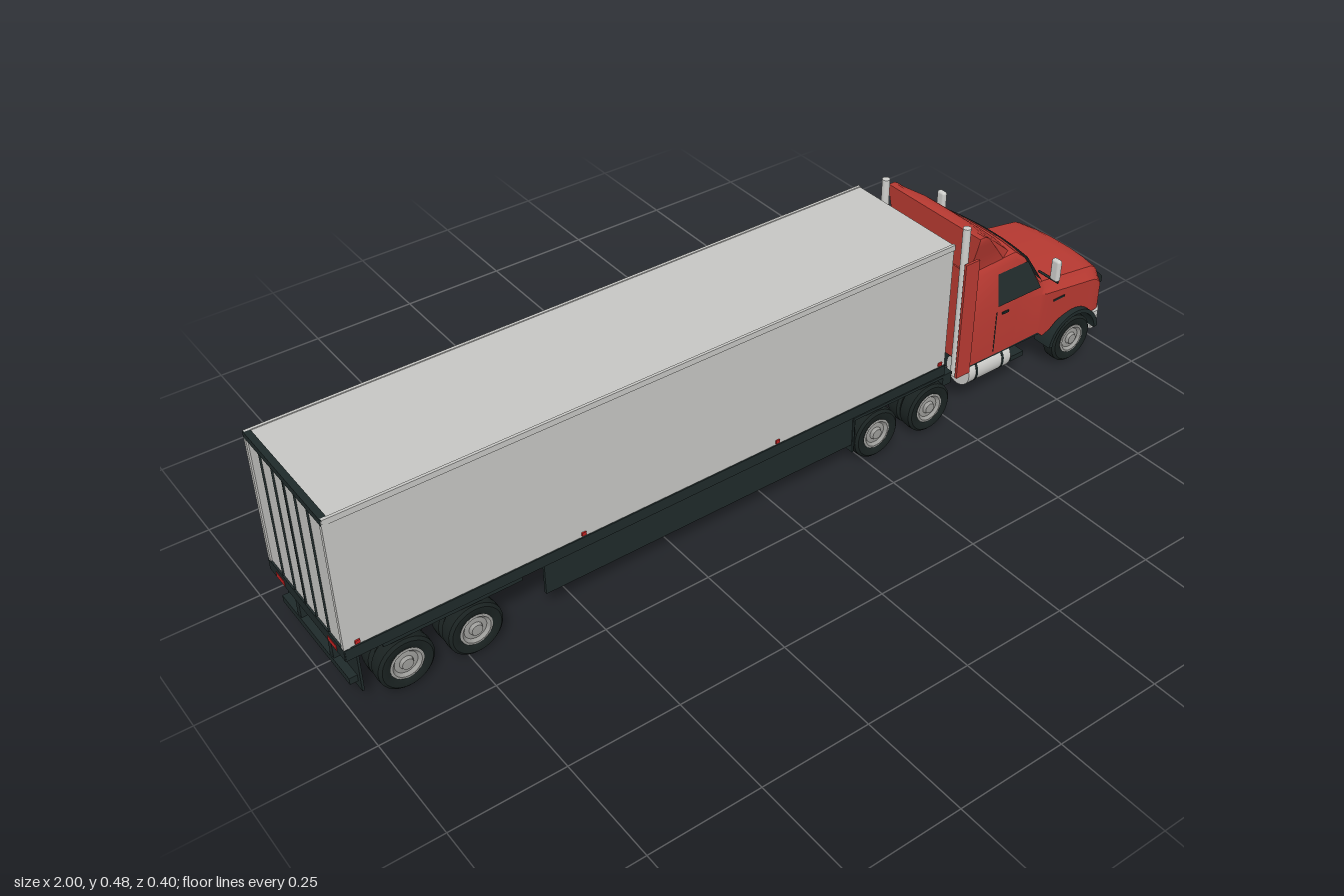
import * as THREE from 'three';
import { toCreasedNormals } from 'three/addons/utils/BufferGeometryUtils.js';
import { RoundedBoxGeometry } from 'three/addons/geometries/RoundedBoxGeometry.js';

const mat = (name, color, side = THREE.FrontSide) => new THREE.MeshStandardMaterial({ name, color, side });

// Closed loft through rings of [x, y, z] points, capped, always facing outward
function loft(rings, crease = 0.6) {
  const n = rings[0].length, pos = rings.flat(2), idx = [];
  for (let r = 0; r + 1 < rings.length; r++) for (let i = 0; i < n; i++) {
    const a = r * n + i, b = r * n + (i + 1) % n;
    idx.push(a, b, b + n, a, b + n, a + n);
  }
  [0, rings.length - 1].forEach((r, end) => {
    const c = pos.length / 3;
    for (let k = 0; k < 3; k++) pos.push(rings[r].reduce((s, p) => s + p[k], 0) / n);
    for (let i = 0; i < n; i++) {
      const a = r * n + i, b = r * n + (i + 1) % n;
      idx.push(...(end ? [a, b, c] : [b, a, c]));
    }
  });
  const v = (i) => new THREE.Vector3().fromArray(pos, i * 3);
  let volume = 0;
  for (let i = 0; i < idx.length; i += 3) volume += v(idx[i]).dot(v(idx[i + 1]).cross(v(idx[i + 2])));
  if (volume < 0) idx.reverse();
  const g = new THREE.BufferGeometry();
  g.setAttribute('position', new THREE.Float32BufferAttribute(pos, 3));
  g.setIndex(idx);
  return toCreasedNormals(g, crease);
}

// Open sheet over a unit square
function sheet(fn, nu, nv) {
  const g = new THREE.PlaneGeometry(1, 1, nu, nv), p = g.attributes.position;
  for (let i = 0; i < p.count; i++) p.setXYZ(i, ...fn(p.getX(i) + 0.5, p.getY(i) + 0.5));
  g.computeVertexNormals();
  return g;
}

// Curved plan of cab and nose: the sides sit further back than the middle
const bow = (x, z) => x - 0.015 * (z / 0.14) ** 2 * THREE.MathUtils.clamp((x - 0.66) / 0.07, 0, 1);
const lerp = THREE.MathUtils.lerp;

export function createModel() {
  const truck = new THREE.Group();
  truck.name = 'semiTruck';
  const red = mat('red paint', 0xb93a32), silver = mat('trailer silver', 0xc6c6c3),
    chrome = mat('bright metal', 0xcfcfcc), dark = mat('dark chassis', 0x1f2a2a),
    rubber = mat('tyre rubber', 0x1a2221), glass = mat('dark glass', 0x232d2d, THREE.DoubleSide),
    hubGrey = mat('wheel grey', 0x9c9c99), lamp = mat('red lamp', 0xc42222);

  const add = (name, geo, m, x = 0, y = 0, z = 0) => {
    const mesh = new THREE.Mesh(geo, m);
    mesh.name = name;
    mesh.position.set(x, y, z);
    truck.add(mesh);
    return mesh;
  };
  // Box given by its limits
  const box = (name, m, x0, x1, y0, y1, z0, z1) =>
    add(name, new THREE.BoxGeometry(x1 - x0, y1 - y0, Math.abs(z1 - z0)), m, (x0 + x1) / 2, (y0 + y1) / 2, (z0 + z1) / 2);
  const rod = (name, m, r, len, axis, x, y, z, seg = 20) => {
    const g = new THREE.CylinderGeometry(r, r, len, seg);
    if (axis === 'x') g.rotateZ(Math.PI / 2);
    if (axis === 'z') g.rotateX(Math.PI / 2);
    return add(name, g, m, x, y, z);
  };
  const sides = [1, -1];

  // Trailer body, rails and floor
  box('trailerBody', silver, -0.995, 0.47, 0.16, 0.475, -0.155, 0.155);
  box('trailerFloor', dark, -0.997, 0.47, 0.14, 0.16, -0.154, 0.154);
  for (const s of sides) {
    box('lowerRail', dark, -0.997, 0.47, 0.14, 0.166, s * 0.152, s * 0.158);
    box('upperRail', silver, -0.997, 0.471, 0.464, 0.477, s * 0.151, s * 0.1575);
    box('sideSkirt', dark, -0.57, 0.22, 0.06, 0.142, s * 0.143, s * 0.15);
    box('bogieRail', dark, -0.93, -0.62, 0.118, 0.14, s * 0.05, s * 0.075);
    box('bogieEdge', dark, -0.92, -0.62, 0.124, 0.14, s * 0.14, s * 0.15);
    box('rearCorner', silver, -0.9985, -0.985, 0.16, 0.475, s * 0.147, s * 0.1565);
    for (const x of [-0.97, -0.48, 0, 0.455]) box('markerLamp', lamp, x - 0.005, x + 0.005, 0.17, 0.178, s * 0.155, s * 0.1585);
    // Rear doors
    for (const z of [0.045, 0.095]) rod('doorRod', dark, 0.0025, 0.3, 'y', -0.996, 0.318, s * z, 8);
    box('rearLamp', lamp, -1, -0.994, 0.143, 0.155, s * 0.09, s * 0.125);
    box('guardPost', dark, -0.99, -0.975, 0.065, 0.14, s * 0.06, s * 0.075);
    box('trailerMudFlap', dark, -0.975, -0.97, 0.045, 0.14, s * 0.08, s * 0.152);
  }
  box('doorSeam', dark, -0.998, -0.99, 0.165, 0.47, -0.002, 0.002);
  box('rearTopRail', dark, -0.999, -0.985, 0.463, 0.477, -0.156, 0.156);
  box('rearSill', dark, -0.999, -0.98, 0.14, 0.166, -0.157, 0.157);
  box('rearGuard', dark, -0.992, -0.975, 0.062, 0.078, -0.14, 0.14);

  // Tractor chassis
  for (const s of sides) {
    box('frameRail', dark, 0.2, 0.95, 0.085, 0.125, s * 0.045, s * 0.06);
    box('driveFender', dark, 0.215, 0.5, 0.125, 0.132, s * 0.085, s * 0.152);
    box('driveMudFlap', dark, 0.212, 0.217, 0.04, 0.13, s * 0.085, s * 0.152);
    box('rearStay', dark, 0.475, 0.5, 0.1, 0.13, s * 0.1, s * 0.15);
  }
  box('couplingPlate', dark, 0.26, 0.46, 0.12, 0.142, -0.07, 0.07);
  box('deckPlate', dark, 0.5, 0.55, 0.115, 0.127, -0.04, 0.04);
  box('engineBlock', dark, 0.56, 0.97, 0.075, 0.14, -0.085, 0.085);

  // Wheels
  const tyre = (w) => {
    const h = w / 2, pts = [[0.032, -h * 0.7], [0.04, -h], [0.054, -h], [0.06, -h * 0.72], [0.061, 0],
      [0.06, h * 0.72], [0.054, h], [0.04, h], [0.032, h * 0.7]];
    const g = new THREE.LatheGeometry(pts.map(([r, y]) => new THREE.Vector2(r, y)), 32);
    return toCreasedNormals(g.rotateX(Math.PI / 2), 0.7);
  };
  const tyreGeo = tyre(0.037);
  const hubShape = new THREE.LatheGeometry([[0.036, -0.005], [0.036, 0.004], [0.031, 0.005], [0.025, -0.001],
    [0.015, 0], [0.012, 0.007], [0, 0.007]].map(([r, y]) => new THREE.Vector2(r, y)), 24).rotateX(Math.PI / 2);
  const hubGeo = toCreasedNormals(hubShape, 0.5);
  for (const x of [-0.88, -0.73, 0.28, 0.435, 0.885]) {
    const steer = x > 0.8;
    rod('axle', dark, 0.012, 0.26, 'z', x, 0.061, 0, 12);
    for (const s of sides) {
      for (const z of steer ? [0.137] : [0.138, 0.099]) {
        add('tyre', tyreGeo, rubber, x, 0.061, s * z);
        rod('rim', dark, 0.034, 0.02, 'z', x, 0.061, s * z, 24);
      }
      add('hub', hubGeo, hubGrey, x, 0.061, s * 0.15).rotation.y = s > 0 ? 0 : Math.PI;
    }
  }

  // Cab and bonnet: stations of [x, top height, top half width, side half width]
  const stations = [[0.55, 0.355, 0.134, 0.148], [0.7, 0.36, 0.134, 0.148], [0.735, 0.335, 0.136, 0.147], [0.79, 0.25, 0.14, 0.146]];
  for (let i = 0; i < 8; i++) stations.push([0.805 + i * 0.023, 0.246 - i * 0.0035, 0.136 - i * 0.0005, 0.147 - i * 0.0004]);
  stations.push([0.982, 0.213, 0.131, 0.144], [0.993, 0.199, 0.128, 0.141]);
  const rings = stations.map(([x, top, wt, ws]) => {
    const arch = 0.061 + Math.sqrt(Math.max(0, 0.077 ** 2 - (x - 0.885) ** 2));
    const low = Math.max(x < 0.8 ? 0.12 : 0.105, arch);
    const half = [[ws, low], [ws, Math.min(0.235, top - 0.025)], [wt, top - 0.012], [wt - 0.008, top], [wt * 0.6, top + 0.002], [wt * 0.25, top + 0.003]];
    const full = [...half, ...half.map(([z, y]) => [-z, y]).reverse()];
    return full.map(([z, y]) => [bow(x, z), y, z]);
  });
  add('cabBody', loft(rings, 0.5), red);

  // Roof fairing, flaring wider toward the top
  const fairing = [[0.34, 0.715, 0.125], [0.365, 0.69, 0.127], [0.4, 0.65, 0.136], [0.43, 0.615, 0.144], [0.45, 0.59, 0.149], [0.455, 0.575, 0.148]];
  add('roofFairing', loft(fairing.map(([y, xf, w]) => [[0.553, w], [lerp(0.553, xf, 0.7), w], [xf - 0.012, w * 0.88],
    [xf, w * 0.45], [xf, -w * 0.45], [xf - 0.012, -w * 0.88], [lerp(0.553, xf, 0.7), -w], [0.553, -w]].map(([x, z]) => [x, y, z])), 0.5), red);

  // Windscreen and its wiper ledge
  add('windscreen', sheet((u, v) => {
    const z = lerp(0.135, 0.129, v) * (1 - 2 * u);
    return [bow(lerp(0.79, 0.739, v), z) + 0.004, lerp(0.252, 0.331, v) + 0.003, z];
  }, 14, 1), glass);

  for (const s of sides) {
    // Side window and door details
    add('sideWindow', sheet((u, v) => [lerp(0.632, lerp(0.764, 0.724, v), u), lerp(0.25, 0.33, v), s * (lerp(0.1457, 0.1345, v) + 0.003)], 1, 1), glass);
    box('doorHandle', dark, 0.645, 0.665, 0.225, 0.23, s * 0.147, s * 0.151);
    box('doorSeam', dark, 0.628, 0.63, 0.13, 0.235, s * 0.147, s * 0.149);
    box('bonnetVent', dark, 0.815, 0.85, 0.19, 0.195, s * 0.144, s * 0.148);
    // Side extender and exhaust stack
    box('sideExtender', red, 0.515, 0.555, 0.105, 0.405, s * 0.146, s * 0.152);
    rod('exhaustStack', chrome, 0.009, 0.385, 'y', 0.528, 0.2925, s * 0.131);
    // Fuel tank with straps, and steps
    rod('fuelTank', chrome, 0.037, 0.13, 'x', 0.62, 0.092, s * 0.115, 28);
    for (const x of [0.58, 0.66]) rod('tankStrap', dark, 0.038, 0.006, 'x', x, 0.092, s * 0.115, 28);
    box('cabStep', dark, 0.69, 0.73, 0.075, 0.088, s * 0.09, s * 0.148);
    box('cabSill', dark, 0.555, 0.8, 0.114, 0.124, s * 0.08, s * 0.146);
    // Wheel arch liner
    const arc = new THREE.Shape();
    arc.absarc(0, 0, 0.08, 0.1, Math.PI - 0.1, false);
    arc.absarc(0, 0, 0.07, Math.PI - 0.1, 0.1, true);
    add('wheelArch', new THREE.ExtrudeGeometry(arc, { depth: 0.05, bevelEnabled: false, curveSegments: 20 }), dark, 0.885, 0.061, s > 0 ? 0.11 : -0.16);
    // Mirror
    add('mirror', new RoundedBoxGeometry(0.014, 0.055, 0.024, 3, 0.006), chrome, 0.762, 0.318, s * 0.188);
    rod('mirrorArm', dark, 0.003, 0.06, 'z', 0.76, 0.291, s * 0.17, 8);
    // Headlights following the nose
    const strip = (name, m, z0, z1, y0, y1, off) => add(name, sheet((u, v) => {
      const z = lerp(z0, z1, s > 0 ? 1 - u : u) * s;
      return [bow(0.993, z) + off, lerp(y0, y1, v), z];
    }, 6, 1), m);
    strip('headlightPanel', glass, 0.062, 0.142, 0.175, 0.194, 0.002);
    strip('headlightTrim', chrome, 0.062, 0.143, 0.17, 0.175, 0.003);
    strip('indicator', chrome, 0.125, 0.141, 0.179, 0.191, 0.003);
    rod('headlight', chrome, 0.009, 0.006, 'x', 0.988, 0.184, s * 0.098);
    // Bright grille surround
    box('grilleSide', chrome, 0.985, 0.998, 0.108, 0.197, s * 0.058, s * 0.061);
  }

  // Grille
  box('grille', dark, 0.98, 0.996, 0.108, 0.196, -0.06, 0.06);
  for (let i = 0; i < 6; i++) box('grilleBar', chrome, 0.99, 0.998, 0.11 + i * 0.0168, 0.1128 + i * 0.0168, -0.06, 0.06);
  rod('grilleStud', chrome, 0.005, 0.006, 'x', 0.996, 0.154, 0, 16);

  // Front bumper with swept corners, and number plate
  const plan = new THREE.Shape([[0.955, -0.148], [0.975, -0.148], [0.99, -0.135], [0.998, -0.09], [0.998, 0.09],
    [0.99, 0.135], [0.975, 0.148], [0.955, 0.148]].map(([x, z]) => new THREE.Vector2(x, z)));
  const bumper = new THREE.ExtrudeGeometry(plan, { depth: 0.046, bevelEnabled: false }).rotateX(-Math.PI / 2);
  add('frontBumper', bumper, chrome, 0, 0.056, 0);
  box('bumperShadowGap', dark, 0.94, 0.985, 0.1, 0.107, -0.13, 0.13);
  box('plateFrame', dark, 0.997, 0.9988, 0.072, 0.094, -0.02, 0.02);
  box('numberPlate', chrome, 0.998, 1, 0.0735, 0.0925, -0.0185, 0.0185);
  return truck;
}
